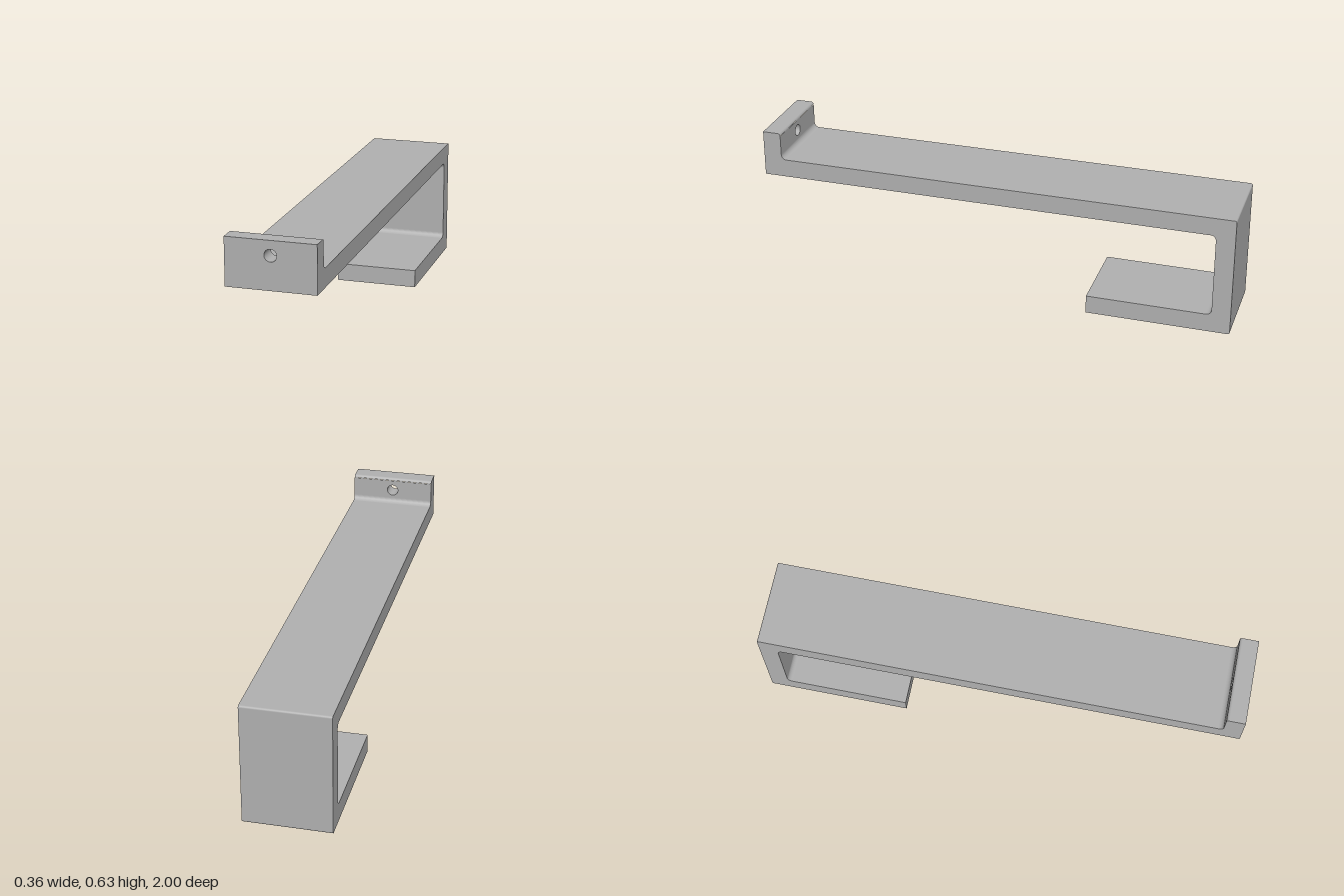
import * as THREE from 'three';
import { mergeGeometries } from 'three/addons/utils/BufferGeometryUtils.js';

const WIDTH = 0.356, FRONT = 1, LIP_BACK = 0.924;
const LIP_BOTTOM = 0.434, LIP_TOP = 0.627, SHELF_TOP = 0.51;
const HOLE_Y = 0.569, HOLE_R = 0.0245;
const FILLET = 0.022, LIP_ROUND = 0.012, EDGE = 0.008;

// Outline through right-angled corners [z, y, radius], each rounded by its radius
function roundedOutline(corners, steps = 16) {
  const points = [];
  corners.forEach(([x, y, r = 0], i) => {
    const p = new THREE.Vector2(x, y);
    if (!r) { points.push(p); return; }
    const toward = (c) => new THREE.Vector2(c[0], c[1]).sub(p).normalize();
    const a = toward(corners[(i + corners.length - 1) % corners.length]);
    const b = toward(corners[(i + 1) % corners.length]);
    for (let k = 0; k <= steps; k++) {
      const t = (k / steps) * Math.PI / 2;
      points.push(p.clone()
        .addScaledVector(a, r * (1 - Math.sin(t)))
        .addScaledVector(b, r * (1 - Math.cos(t))));
    }
  });
  return new THREE.Shape(points);
}

// Bent strip, left open where the drilled lip walls go
function stripGeometry() {
  const outline = roundedOutline([
    [FRONT, LIP_BOTTOM], [FRONT, LIP_TOP], [LIP_BACK, LIP_TOP, LIP_ROUND],
    [LIP_BACK, SHELF_TOP, FILLET], [-1, SHELF_TOP, EDGE], [-1, 0, EDGE],
    [-0.402, 0], [-0.402, 0.077], [-0.922, 0.077, FILLET], [-0.922, LIP_BOTTOM, FILLET],
  ]);
  const strip = new THREE.ExtrudeGeometry(outline, { depth: WIDTH, bevelEnabled: false });
  strip.rotateY(-Math.PI / 2).translate(WIDTH / 2, 0, 0);
  const pos = strip.attributes.position;
  const keep = [];
  for (let i = 0; i < pos.count; i += 3) {
    const onWall = (z) => [0, 1, 2].every((k) => Math.abs(pos.getZ(i + k) - z) < 1e-4);
    if (!onWall(FRONT) && !onWall(LIP_BACK)) keep.push(i, i + 1, i + 2);
  }
  strip.setIndex(keep);
  return strip.toNonIndexed();
}

// Flat lip wall with the screw hole, facing +z
function drilledWall(bottom, top) {
  const w = WIDTH / 2;
  const shape = new THREE.Shape([
    new THREE.Vector2(-w, bottom), new THREE.Vector2(w, bottom),
    new THREE.Vector2(w, top), new THREE.Vector2(-w, top),
  ]);
  shape.holes.push(new THREE.Path().absarc(0, HOLE_Y, HOLE_R, 0, Math.PI * 2, true));
  return new THREE.ShapeGeometry(shape, 24).toNonIndexed();
}

export function createModel() {
  const group = new THREE.Group();
  group.name = 'hookBracket';
  const grey = new THREE.MeshStandardMaterial({ color: 0xb0b0b0 });
  grey.name = 'grey';

  const frontWall = drilledWall(LIP_BOTTOM, LIP_TOP).translate(0, 0, FRONT);
  const backWall = drilledWall(SHELF_TOP + FILLET, LIP_TOP - LIP_ROUND)
    .rotateY(Math.PI).translate(0, 0, LIP_BACK);
  const bracket = new THREE.Mesh(mergeGeometries([stripGeometry(), frontWall, backWall]), grey);
  bracket.name = 'bracket';

  // Bore of the screw hole; descending profile makes it face inwards
  const bore = new THREE.LatheGeometry(
    [new THREE.Vector2(HOLE_R, FRONT), new THREE.Vector2(HOLE_R, LIP_BACK)], 48);
  bore.rotateX(Math.PI / 2).translate(0, HOLE_Y, 0);
  const screwHole = new THREE.Mesh(bore, grey);
  screwHole.name = 'screwHole';

  group.add(bracket, screwHole);
  return group;
}
